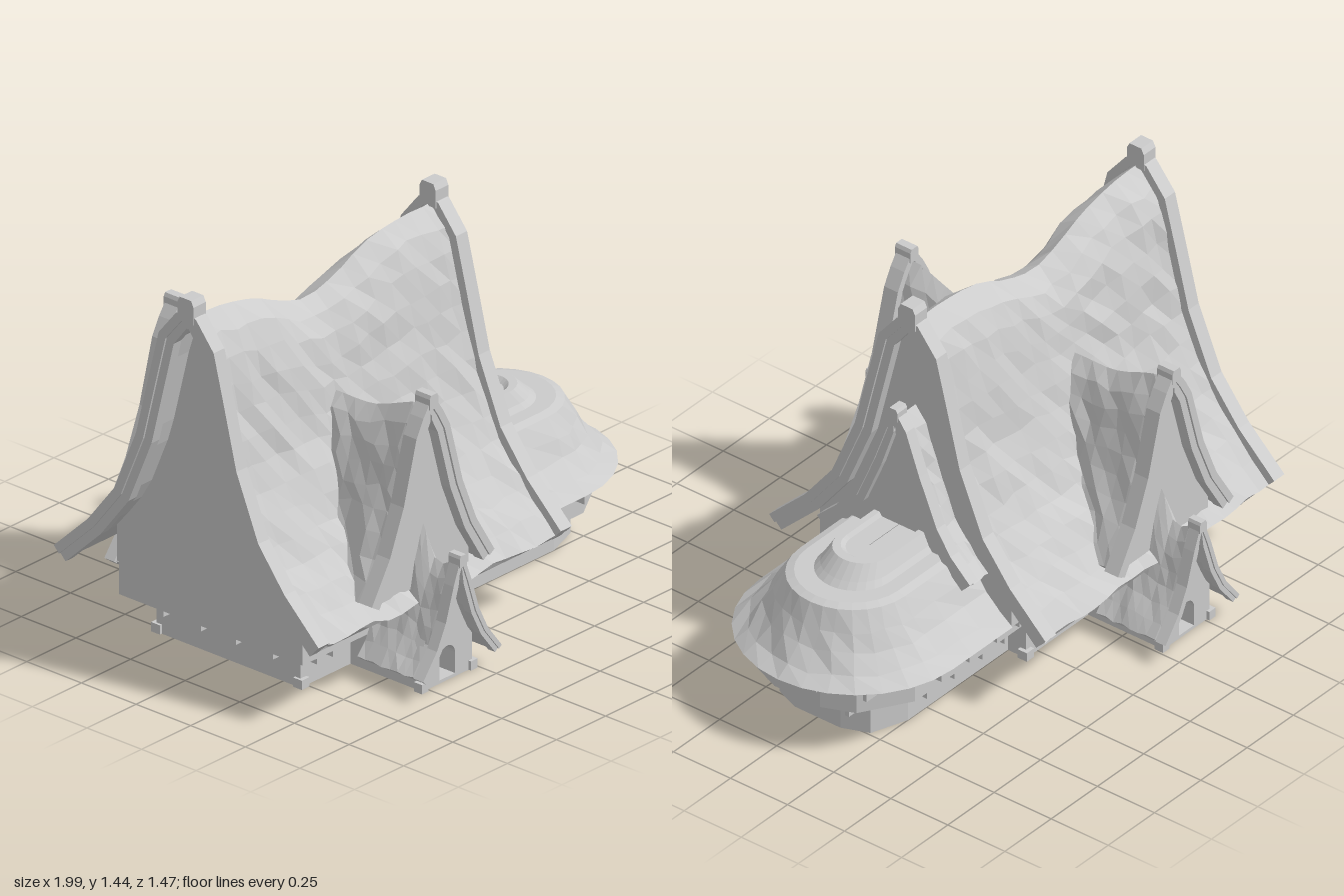
import * as THREE from 'three';

const stone = new THREE.MeshStandardMaterial({ color: 0xcccccc, flatShading: true });
const shell = new THREE.MeshStandardMaterial({ color: 0xcccccc, flatShading: true, side: THREE.DoubleSide });

// Repeatable noise in -1..1
let seed = 7;
const rnd = () => ((seed = (seed * 16807) % 2147483647) / 2147483647) * 2 - 1;

function add(parent, name, geo, mat = stone) {
  const m = new THREE.Mesh(geo, mat);
  m.name = name;
  parent.add(m);
  return m;
}

function box(parent, name, x0, x1, y0, y1, z0, z1) {
  const m = add(parent, name, new THREE.BoxGeometry(x1 - x0, y1 - y0, z1 - z0));
  m.position.set((x0 + x1) / 2, (y0 + y1) / 2, (z0 + z1) / 2);
  return m;
}

// Surface through rows of [x, y, z] points
function loft(rows) {
  const n = rows[0].length, idx = [];
  for (let i = 0; i < rows.length - 1; i++)
    for (let j = 0; j < n - 1; j++) {
      const a = i * n + j, b = a + n;
      idx.push(a, b, a + 1, b, b + 1, a + 1);
    }
  const g = new THREE.BufferGeometry();
  g.setAttribute('position', new THREE.Float32BufferAttribute(rows.flat(2), 3));
  g.setIndex(idx);
  g.computeVertexNormals();
  return g;
}

// Half roof curve (apex to eave) moved inward by d
function inset(curve, d) {
  return curve.map(([x, y], i) => {
    if (i === 0) return [0, y - d];
    const a = curve[i - 1], b = curve[Math.min(i + 1, curve.length - 1)];
    const tx = b[0] - a[0], ty = b[1] - a[1], l = Math.hypot(tx, ty);
    return [Math.max(0.004, x + (ty / l) * d), y - (tx / l) * d];
  });
}

// Left eave, over the ridge, to right eave
const full = (h) => [...h.slice(1).reverse().map(([x, y]) => [-x, y]), ...h];

function extrude(pts, z0, z1, hole) {
  const s = new THREE.Shape(pts.map((p) => new THREE.Vector2(...p)));
  if (hole) s.holes.push(hole);
  return new THREE.ExtrudeGeometry(s, { depth: z1 - z0, bevelEnabled: false, curveSegments: 6 }).translate(0, 0, z0);
}

// Curved bargeboards with a proud outer moulding and a finial at the apex
function frame(parent, curve, w, z0, z1, fin) {
  const band = (a, b) => [...full(inset(curve, a)), ...full(inset(curve, b)).reverse()];
  const step = (z1 - z0) * 0.14;
  add(parent, 'gableMoulding', extrude(band(0, w * 0.5), z0, z1));
  add(parent, 'gableBoard', extrude(band(w * 0.5, w), z0 + step, z1 - step));
  const y = curve[0][1];
  add(parent, 'finial', extrude([[-fin, y - fin], [fin, y - fin], [fin, y + fin * 0.8], [fin * 0.7, y + fin * 1.4],
    [-fin * 0.7, y + fin * 1.4], [-fin, y + fin * 0.8]], z0 - 0.004, z1 + 0.004));
}

// Wavy roof shell; rise(z) lifts or sags the ridge
function roof(parent, curve, thick, z0, z1, cols, rowsPerSide, amp, rise) {
  const spaced = (h) => {
    const path = new THREE.CurvePath();
    for (let i = 0; i < h.length - 1; i++)
      path.add(new THREE.LineCurve(new THREE.Vector2(...h[i]), new THREE.Vector2(...h[i + 1])));
    return path.getSpacedPoints(rowsPerSide).map((p) => [p.x, p.y]);
  };
  const outer = full(spaced(curve)), inner = full(spaced(inset(curve, thick))).reverse();
  const top = curve[0][1], low = curve[curve.length - 1][1];
  const rows = [];
  for (let c = 0; c <= cols; c++) {
    const z = z0 + ((z1 - z0) * c) / cols;
    const put = ([x, y], a) => {
      const k = Math.max(0, (y - low) / (top - low)) ** 2;
      const j = Math.abs(x) < 0.03 ? 0.2 : 1;
      return [x + Math.sign(x) * rnd() * a * j, y + rise(z) * k + rnd() * a * j, z + rnd() * a * 0.8 * (c % cols ? 1 : 0)];
    };
    const ring = [...outer.map((p) => put(p, amp)), ...inner.map((p) => put(p, 0))];
    rows.push([...ring, ring[0]]);
  }
  add(parent, 'roof', loft(rows), shell);
}

// Gable wall filling the area under a roof curve
function gable(parent, curve, d, half, base, z0, z1) {
  const h = inset(curve, d).filter(([x, y]) => x < half && y > base);
  const last = h[h.length - 1];
  h.push([half, Math.max(base + 0.01, last[1] - (half - last[0]) * 1.2)], [half, base]);
  add(parent, 'gableWall', extrude(full(h), z0, z1));
}

// Floor plan with a faceted end, extruded upwards
function floorPlan(parent, name, half, y0, y1) {
  const f = full([[0, 0], ...half].map(([x, z]) => [z, x])).filter(([z]) => z !== 0).map(([z, x]) => [x, z]);
  add(parent, name, extrude(f, y0, y1).rotateX(-Math.PI / 2));
}

export function createModel() {
  const model = new THREE.Group();
  model.name = 'curvedRoofHall';
  const group = (name, x = 0, turn = 0) => {
    const g = new THREE.Group();
    g.name = name;
    g.position.x = x;
    g.rotation.y = turn;
    model.add(g);
    return g;
  };

  // Great hall roof, running along x
  const hallCurve = [[0, 1.39], [0.045, 1.375], [0.126, 1.275], [0.173, 1.09], [0.23, 0.86], [0.33, 0.62], [0.45, 0.465], [0.606, 0.315]];
  const hall = group('greatHall', 0, Math.PI / 2);
  roof(hall, inset(hallCurve, 0.03), 0.03, -0.96, 0.27, 18, 13, 0.011, (z) => -0.13 * Math.exp(-(((z + 0.38) / 0.25) ** 2)));
  frame(hall, hallCurve, 0.068, -0.995, -0.94, 0.037);
  frame(hall, hallCurve, 0.068, 0.238, 0.295, 0.037);
  gable(hall, hallCurve, 0.05, 0.42, 0.28, -0.88, -0.84);
  gable(hall, hallCurve, 0.05, 0.42, 0.28, 0.2, 0.25);

  // Smaller gable over the round wing
  const wingCurve = [[0, 1.03], [0.022, 1.025], [0.055, 0.98], [0.114, 0.82], [0.19, 0.64], [0.25, 0.55], [0.335, 0.47]];
  const wing = group('wingGable', 0, Math.PI / 2);
  roof(wing, inset(wingCurve, 0.02), 0.025, 0.22, 0.34, 3, 9, 0.008, () => 0);
  frame(wing, wingCurve, 0.06, 0.325, 0.37, 0.02);
  gable(wing, wingCurve, 0.04, 0.22, 0.46, 0.24, 0.34);

  // Dormers and porches on front and back
  const dormerCurve = [[0, 1.035], [0.022, 1.03], [0.05, 0.99], [0.085, 0.925], [0.15, 0.69], [0.22, 0.52], [0.312, 0.37]];
  const porchCurve = [[0, 0.47], [0.018, 0.46], [0.045, 0.39], [0.085, 0.265], [0.13, 0.175], [0.2, 0.085]];
  for (const turn of [0, Math.PI]) {
    const dormer = group('dormer', -0.41, turn);
    roof(dormer, inset(dormerCurve, 0.025), 0.025, 0.08, 0.57, 9, 9, 0.01,
      (z) => -0.07 * THREE.MathUtils.smoothstep(0.55 - z, 0, 0.25));
    frame(dormer, dormerCurve, 0.055, 0.545, 0.605, 0.022);
    gable(dormer, dormerCurve, 0.04, 0.24, 0.33, 0.5, 0.55);

    const porch = group('porch', -0.4, turn);
    roof(porch, inset(porchCurve, 0.01), 0.018, 0.42, 0.71, 8, 7, 0.005,
      (z) => 0.14 * (1 - THREE.MathUtils.smoothstep(z, 0.52, 0.62)) - 0.03 * Math.exp(-(((z - 0.62) / 0.05) ** 2)));
    frame(porch, porchCurve, 0.034, 0.685, 0.73, 0.018);
    for (const s of [-1, 1]) box(porch, 'porchFoot', s * 0.125 - 0.017, s * 0.125 + 0.017, 0, 0.035, 0.635, 0.672);
  }

  // Porch body with an arched passage through the hall
  const arch = new THREE.Path();
  arch.moveTo(-0.04, 0.012).lineTo(0.04, 0.012).lineTo(0.04, 0.09);
  arch.absarc(0, 0.09, 0.04, 0, Math.PI, false);
  const passage = group('porchPassage', -0.4);
  add(passage, 'porchWalls', extrude([[-0.125, 0], [0.125, 0], [0.125, 0.16], [0.075, 0.25], [0.03, 0.38], [0, 0.43], [-0.03, 0.38], [-0.075, 0.25], [-0.125, 0.16]],
    -0.66, 0.66, arch));

  // Hall walls: narrow ground floor, overhanging upper floor
  const walls = group('hallWalls');
  box(walls, 'groundFloor', -0.78, -0.525, 0, 0.15, -0.33, 0.33);
  box(walls, 'groundFloor', -0.275, 0.06, 0, 0.15, -0.33, 0.33);
  box(walls, 'upperFloor', -0.87, 0.06, 0.145, 0.295, -0.42, 0.42);
  box(walls, 'upperFloorBand', -0.88, -0.86, 0.275, 0.3, -0.42, 0.42);
  box(walls, 'hallFloorPlate', 0.05, 0.25, 0.27, 0.3, -0.42, 0.42);
  for (const s of [-1, 1]) {
    for (const x of [-0.77, 0.055])
      box(walls, 'cornerFoot', x - 0.02, x + 0.02, 0, 0.035, s * 0.325 - 0.02, s * 0.325 + 0.02);
    for (const x of [-0.76, -0.68, -0.2, -0.04])
      box(walls, 'bracket', x - 0.008, x + 0.008, 0.105, 0.15, s * 0.36 - 0.035, s * 0.36 + 0.035);
  }
  for (const z of [-0.25, -0.08, 0.08, 0.25]) box(walls, 'bracket', -0.84, -0.77, 0.105, 0.15, z - 0.008, z + 0.008);

  // Round wing walls
  const round = group('roundWing');
  floorPlan(round, 'wingGroundFloor', [[0, 0.25], [0.6, 0.25], [0.74, 0.2], [0.78, 0.1]], 0, 0.15);
  floorPlan(round, 'wingUpperFloor', [[0, 0.33], [0.66, 0.33], [0.84, 0.22], [0.89, 0.1]], 0.145, 0.28);
  for (const s of [-1, 1]) {
    for (const x of [0.15, 0.27, 0.42, 0.57]) {
      box(round, 'bracket', x - 0.008, x + 0.008, 0.105, 0.15, s * 0.28 - 0.035, s * 0.28 + 0.035);
      box(round, 'bracket', x + 0.017, x + 0.033, 0.225, 0.275, s * 0.36 - 0.04, s * 0.36 + 0.04);
    }
  }
  for (const z of [-0.17, 0, 0.17]) box(round, 'bracket', 0.75, 0.83, 0.105, 0.15, z - 0.008, z + 0.008);
  for (const z of [-0.27, -0.1, 0.1, 0.27]) box(round, 'bracket', 0.8, 0.93 - z * z, 0.225, 0.275, z - 0.008, z + 0.008);

  // Round wing roof: flared skirt, flat shoulder, raised cap with a sunken top
  const ring = ([r, y, cx], amp) => {
    const pts = [[0.25, y, r], [0.36, y, r], [(0.36 + cx) / 2, y, r]];
    for (let i = 0; i <= 14; i++) {
      const a = (i / 14) * Math.PI;
      pts.push([cx + r * Math.sin(a), y, r * Math.cos(a)]);
    }
    pts.push([(0.36 + cx) / 2, y, -r], [0.36, y, -r], [0.25, y, -r]);
    return pts.map(([x, h, z]) => [x + rnd() * amp, h + rnd() * amp, z + rnd() * amp]);
  };
  const skirt = [[0.32, 0.275, 0.56], [0.425, 0.272, 0.57], [0.37, 0.31, 0.57], [0.31, 0.37, 0.58], [0.27, 0.43, 0.59], [0.23, 0.5, 0.59]];
  add(round, 'skirtRoof', loft(skirt.map((p, i) => ring(p, i > 1 && i < 5 ? 0.007 : 0))), shell);
  const cap = [[0.23, 0.5, 0.59], [0.2, 0.51, 0.59], [0.145, 0.51, 0.57], [0.13, 0.53, 0.56], [0.108, 0.577, 0.53],
    [0.085, 0.577, 0.52], [0.075, 0.562, 0.51], [0.001, 0.562, 0.5]];
  add(round, 'roofCap', loft(cap.map((p) => ring(p, 0))), shell);

  return model;
}
